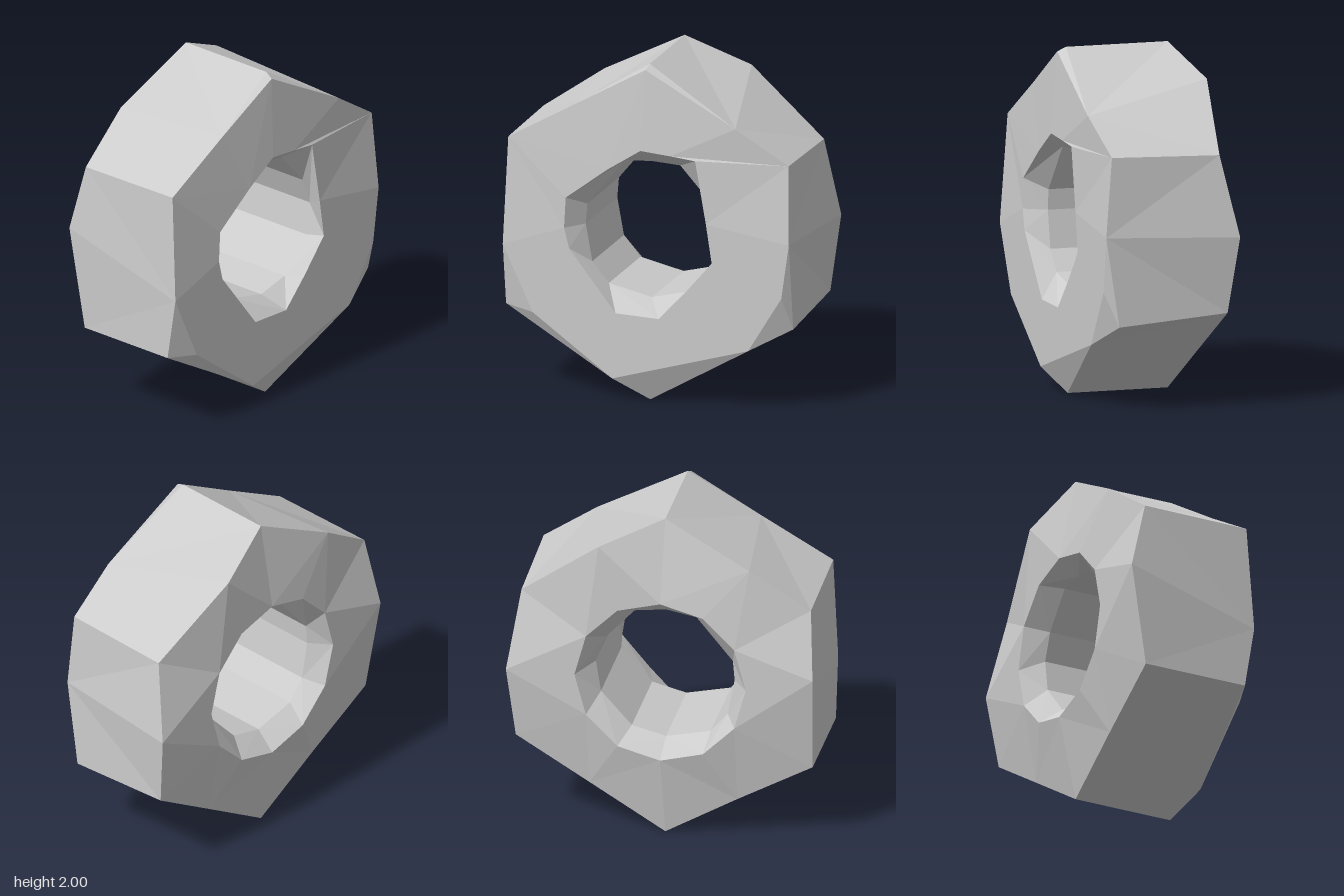
import * as THREE from 'three';

// Each ring has 12 [x, y, z] points: even = hex corner, odd = side middle,
// starting at the top and going round towards -x.
const outerBack = [
  [-0.02, 2, -0.3], [-0.52, 1.74, -0.35], [-0.87, 1.5, -0.3], [-0.9, 1.1, -0.4],
  [-0.88, 0.5, -0.3], [-0.44, 0.25, -0.3], [-0.02, 0, -0.3], [0.42, 0.28, -0.32],
  [0.845, 0.55, -0.34], [0.89, 0.99, -0.4], [0.82, 1.46, -0.3], [0.35, 1.83, -0.4],
];
const outerFront = [
  [-0.02, 2, 0.32], [-0.44, 1.74, 0.36], [-0.86, 1.5, 0.36], [-0.88, 0.87, 0.4],
  [-0.88, 0.5, 0.34], [-0.22, 0.13, 0.4], [-0.02, 0, 0.31], [0.6, 0.37, 0.4],
  [0.845, 0.5, 0.32], [0.845, 1.02, 0.4], [0.83, 1.48, 0.36], [0.52, 1.68, 0.39],
];
// Front face edge: the lower corners are cut off, the rest stay on the outline
const frontRim = outerFront.map((p) => p.slice());
frontRim[0] = [-0.03, 1.975, 0.37];
frontRim[4] = [-0.7, 0.48, 0.4];
frontRim[6] = [0.19, 0.25, 0.4];
frontRim[8] = [0.8, 0.7, 0.4];

const atZ = (points, z) => points.map(([x, y]) => [x, y, z]);
const holeFront = atZ([
  [-0.05, 1.5], [-0.25, 1.37], [-0.5, 1.18], [-0.51, 1], [-0.48, 0.88], [-0.2, 0.52],
  [0.06, 0.51], [0.22, 0.68], [0.38, 0.87], [0.345, 1.1], [0.28, 1.47], [0.13, 1.485],
], 0.4);
const bore = [
  [-0.02, 1.41], [-0.18, 1.4], [-0.41, 1.12], [-0.42, 1], [-0.38, 0.78], [-0.28, 0.66],
  [-0.02, 0.6], [0.18, 0.65], [0.36, 0.85], [0.39, 1.04], [0.33, 1.2], [0.15, 1.4],
];
const circle = (r) => Array.from({ length: 12 }, (_, i) => {
  const a = (i * Math.PI) / 6;
  return [-0.01 - r * Math.sin(a), 1 + r * Math.cos(a)];
});

// Joins consecutive rings into flat-shaded faces
function loft(rings) {
  const pos = [];
  for (let j = 0; j < rings.length - 1; j++) {
    for (let i = 0; i < 12; i++) {
      const k = (i + 1) % 12;
      const a = rings[j][i], b = rings[j][k], c = rings[j + 1][k], d = rings[j + 1][i];
      const same = (p, q) => p.every((v, n) => v === q[n]);
      // split along alternating diagonals so facets fan out from the corners
      const tris = i % 2 ? [[a, b, d], [b, c, d]] : [[a, b, c], [a, c, d]];
      for (const [p, q, r] of tris) {
        if (same(p, q) || same(q, r) || same(r, p)) continue;
        pos.push(...p, ...q, ...r);
      }
    }
  }
  const geo = new THREE.BufferGeometry();
  geo.setAttribute('position', new THREE.Float32BufferAttribute(pos, 3));
  geo.computeVertexNormals();
  return geo;
}

export function createModel() {
  const group = new THREE.Group();
  group.name = 'hexNut';
  const material = new THREE.MeshStandardMaterial({ color: 0xcccccc, flatShading: true });
  const add = (name, rings) => {
    const mesh = new THREE.Mesh(loft(rings), material);
    mesh.name = name;
    group.add(mesh);
  };
  const boreFront = atZ(bore, 0.28);
  const boreBack = atZ(bore, -0.28);
  const holeBack = atZ(circle(0.5), -0.4);

  add('hexSides', [outerBack, outerFront]);
  add('frontFace', [outerFront, frontRim, holeFront]);
  add('boreWall', [holeFront, boreFront, boreBack, holeBack]);
  add('backFace', [holeBack, outerBack]);
  return group;
}
